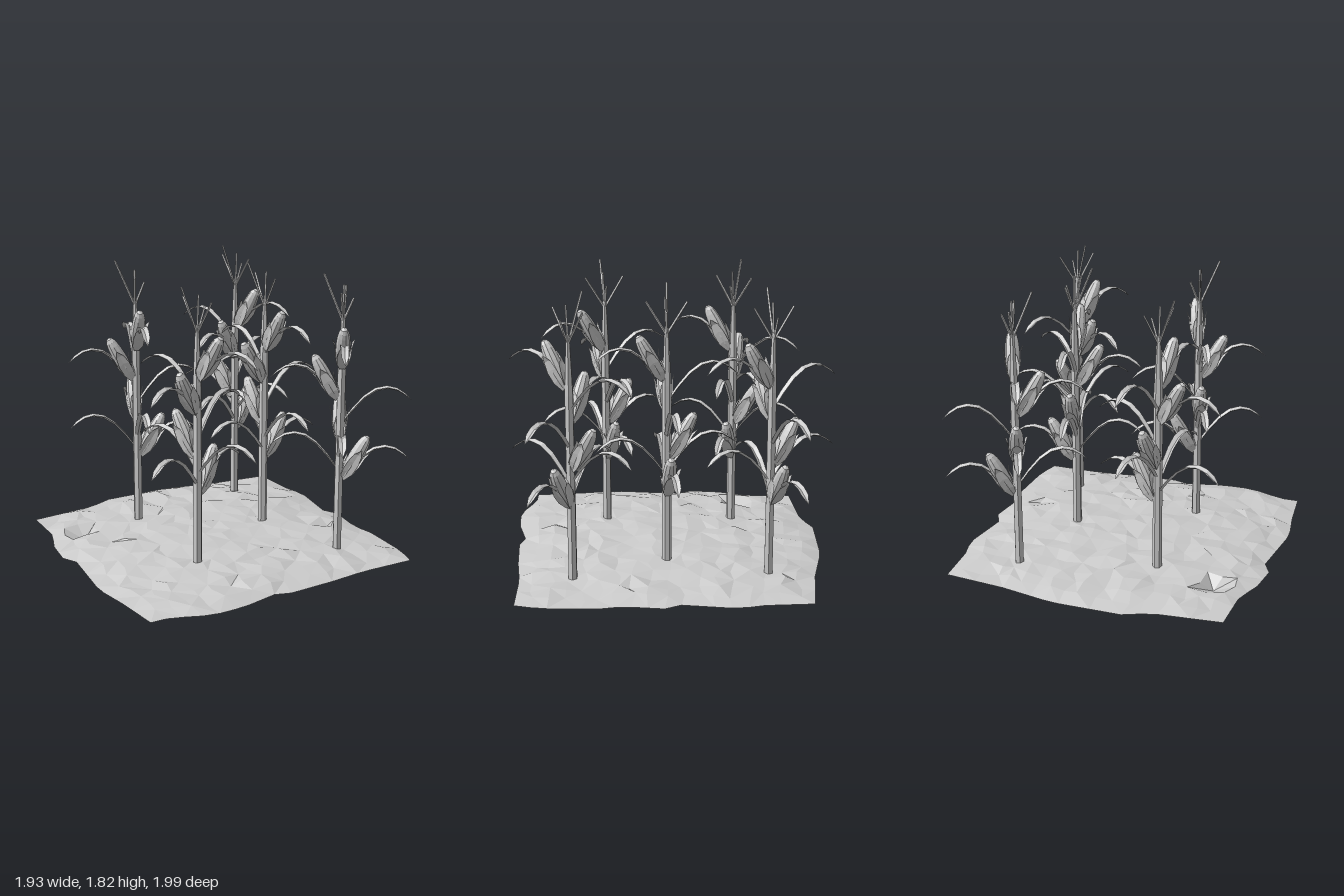
import * as THREE from 'three';

const grey = new THREE.MeshStandardMaterial({ color: 0xcccccc, flatShading: true, side: THREE.DoubleSide });

function mesh(name, geometry) {
  const m = new THREE.Mesh(geometry, grey);
  m.name = name;
  return m;
}

// Sheet from a grid of points, given as rows of equal length
function sheet(rows) {
  const n = rows[0].length, index = [];
  for (let i = 0; i < rows.length - 1; i++) {
    for (let j = 0; j < n - 1; j++) {
      const a = i * n + j, b = a + 1, c = a + n, d = c + 1;
      if ((i + j) % 2) index.push(a, c, b, b, c, d);
      else index.push(a, c, d, a, d, b);
    }
  }
  const g = new THREE.BufferGeometry();
  g.setAttribute('position', new THREE.Float32BufferAttribute(rows.flat(2), 3));
  g.setIndex(index);
  g.computeVertexNormals();
  return g;
}

// Creased blade along +x: stations are [reach, height, half width]
function blade(stations, fold) {
  return sheet(stations.map(([x, y, w]) => [
    [x, y, -w], [x + w * fold * 0.4, y - w * fold, 0], [x, y, w]
  ]));
}

const leafGeometry = blade([
  [0.01, -0.23, 0.016], [0.07, -0.145, 0.02], [0.14, -0.065, 0.022], [0.21, -0.015, 0.024],
  [0.28, 0, 0.024], [0.34, -0.013, 0.024], [0.39, -0.045, 0.022], [0.432, -0.085, 0.002]
], 0.6);

const huskGeometry = blade([
  [0.014, 0, 0.014], [0.036, 0.06, 0.034], [0.048, 0.13, 0.036], [0.052, 0.19, 0.025], [0.068, 0.235, 0.001]
], -0.25);

// Ear of corn with pointed husks, its axis along +y
const earProfile = [[0.012, 0], [0.03, 0.05], [0.041, 0.1], [0.044, 0.15], [0.044, 0.19],
  [0.042, 0.225], [0.038, 0.26], [0.031, 0.29], [0.019, 0.313], [0, 0.322]];
const earGeometry = new THREE.LatheGeometry(earProfile.map(p => new THREE.Vector2(...p)), 10);

function makeEar() {
  const ear = new THREE.Group();
  ear.name = 'ear';
  ear.add(mesh('kernels', earGeometry));
  for (let i = 0; i < 4; i++) {
    const husk = mesh('husk', huskGeometry);
    husk.rotation.y = i * Math.PI / 2 + Math.PI / 2;
    husk.scale.y = i === 1 ? 0.8 : 1;
    ear.add(husk);
  }
  return ear;
}

// Straight rod between two points
function rod(name, from, to, r0, r1, sides) {
  const a = new THREE.Vector3(...from), d = new THREE.Vector3(...to).sub(a);
  const m = mesh(name, new THREE.CylinderGeometry(r1, r0, d.length(), sides));
  m.position.copy(a).addScaledVector(d, 0.5);
  m.quaternion.setFromUnitVectors(new THREE.Vector3(0, 1, 0), d.normalize());
  return m;
}

// Turn about the stalk, leaf crest heights (lower, upper), ear tip height
const sides = [
  [0, 0.75, 1.13, 0.82],
  [Math.PI / 2, 0.92, 1.36, 1.05],
  [Math.PI, 0.83, 1.265, 1.335],
  [-Math.PI / 2, 0.9, 1.46, 1.54]
];

function makePlant() {
  const plant = new THREE.Group();
  plant.name = 'cornPlant';
  plant.add(rod('stalk', [0, 0.06, 0], [0, 1.22, 0], 0.029, 0.028, 6));
  plant.add(rod('upperStalk', [0, 1.22, 0], [0, 1.58, 0], 0.028, 0.012, 6));

  for (const [turn, low, high, tip] of sides) {
    const side = new THREE.Group();
    side.name = 'leafSide';
    side.rotation.y = turn;
    for (const crest of [low, high]) {
      const leaf = mesh('leaf', leafGeometry);
      leaf.position.y = crest;
      side.add(leaf);
    }
    const ear = makeEar();
    ear.position.set(0.02, tip - 0.29, 0);
    ear.rotation.z = -0.5;
    side.add(ear);
    plant.add(side);
  }

  // Tassel
  const tips = [[-0.12, 1.82, -0.02], [0, 1.76, 0.01], [0.06, 1.68, 0.01], [-0.02, 1.73, 0.12], [0.02, 1.73, -0.12]];
  for (const tip of tips) plant.add(rod('tasselBranch', [0, 1.53, 0], tip, 0.008, 0.007, 4));
  return plant;
}

// Piecewise linear lookup through [position, value] points
function along(points, t) {
  let i = 0;
  while (i < points.length - 2 && t > points[i + 1][0]) i++;
  const [a, va] = points[i], [b, vb] = points[i + 1];
  return va + (vb - va) * THREE.MathUtils.clamp((t - a) / (b - a), 0, 1);
}

// Uneven, gently domed soil patch
function makeGround() {
  const back = [[-0.9, -0.86], [-0.45, -0.9], [-0.32, -0.97], [0.15, -0.97], [0.3, -0.94], [0.5, -0.9], [0.9, -0.86]];
  const front = [[-0.9, 0.91], [-0.75, 0.91], [-0.65, 0.97], [-0.47, 1], [-0.3, 0.98], [-0.1, 0.93], [0, 0.96], [0.3, 0.94], [0.55, 0.91], [0.9, 0.91]];
  const left = [[-0.9, -0.87], [-0.55, -0.88], [-0.45, -0.94], [-0.2, -0.97], [-0.1, -0.92], [0.35, -0.97], [0.6, -0.93], [0.9, -0.9]];
  const right = [[-0.9, 0.9], [-0.57, 0.92], [-0.45, 0.96], [-0.1, 0.91], [0, 0.96], [0.25, 0.93], [0.4, 0.96], [0.75, 0.95], [0.9, 0.91]];
  let seed = 7;
  const rand = () => (seed = (seed * 16807) % 2147483647) / 2147483647 - 0.5;
  const n = 18, rows = [];
  for (let i = 0; i <= n; i++) {
    const row = [];
    for (let j = 0; j <= n; j++) {
      const u = j / n, v = i / n, s = u * 2 - 1, t = v * 2 - 1;
      const rim = i === 0 || j === 0 || i === n || j === n;
      const jitter = rim ? 0 : 0.05;
      const x = THREE.MathUtils.lerp(along(left, t * 0.9), along(right, t * 0.9), u) + rand() * jitter;
      const z = THREE.MathUtils.lerp(along(back, s * 0.9), along(front, s * 0.9), v) + rand() * jitter;
      const dome = 0.035 + 0.068 * Math.pow((1 - s * s) * (1 - t * t), 0.6);
      row.push([x, rim ? 0.035 : dome + rand() * 0.026, z]);
    }
    rows.push(row);
  }
  // Hollow near the back corner
  rows[4][2][1] = 0;
  return mesh('ground', sheet(rows));
}

export function createModel() {
  const model = new THREE.Group();
  model.name = 'cornPatch';
  model.add(makeGround());
  // Plant positions x, z and turn in degrees
  const spots = [[-0.32, -0.42, -16], [0.52, -0.61, 26], [0.375, 0.01, 9], [-0.32, 0.4, 24], [0.58, 0.58, -32]];
  for (const [x, z, turn] of spots) {
    const plant = makePlant();
    plant.position.set(x, 0, z);
    plant.rotation.y = THREE.MathUtils.degToRad(turn);
    model.add(plant);
  }
  return model;
}
